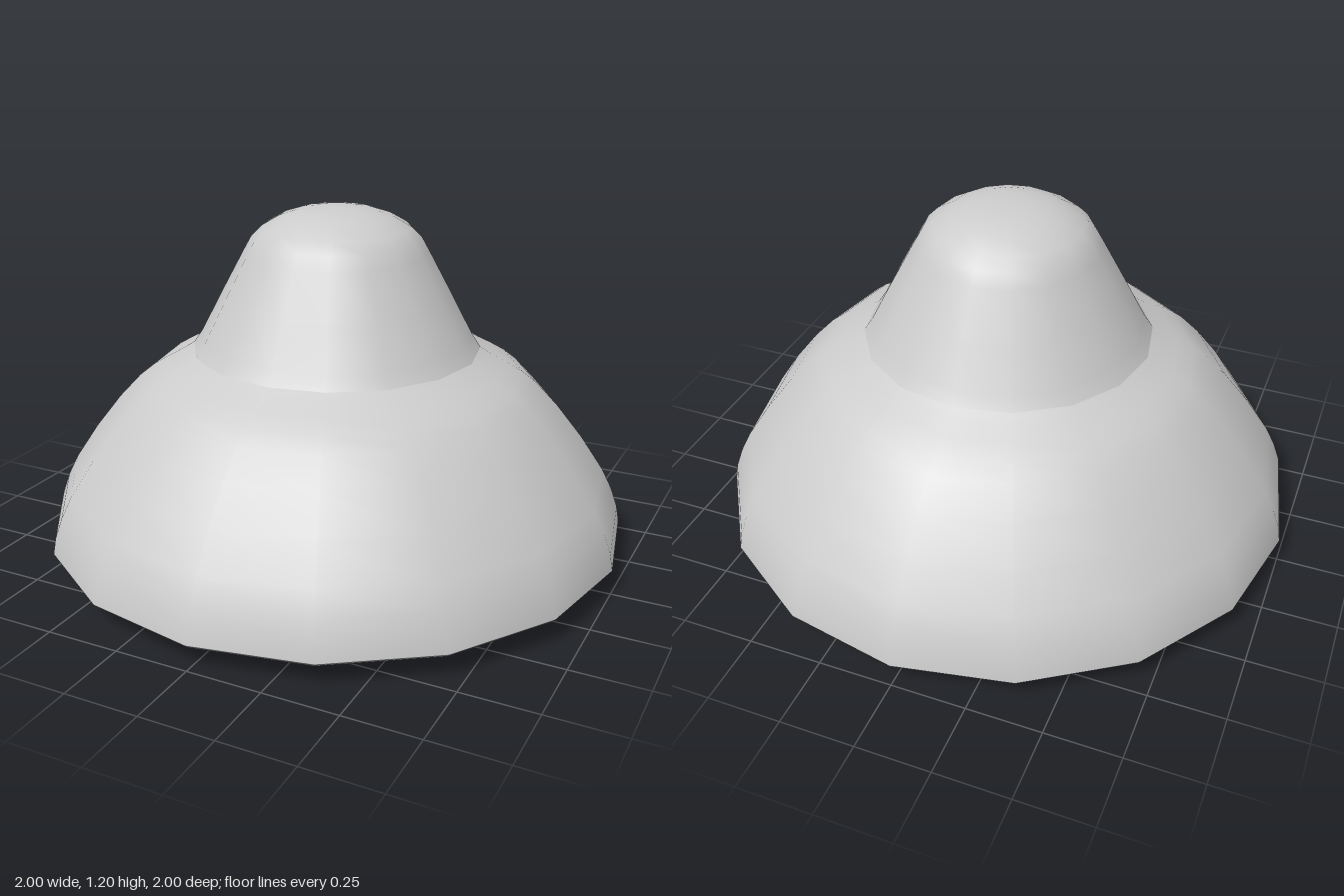
import * as THREE from 'three';
import { toCreasedNormals } from 'three/addons/utils/BufferGeometryUtils.js';

const SIDES = 16;
const material = new THREE.MeshStandardMaterial({ color: 0xcccccc });

const points = (list) => list.map(([r, y]) => new THREE.Vector2(r, y));

// Turned part, smooth around its axis with sharp profile corners
function turned(name, profile, sides, crease = 0.6) {
  const geometry = toCreasedNormals(new THREE.LatheGeometry(points(profile), sides), crease);
  const mesh = new THREE.Mesh(geometry, material);
  mesh.name = name;
  return mesh;
}

// Round plate with rings of holes, lying flat
function perforatedPlate(radius, thickness) {
  const shape = new THREE.Shape().absarc(0, 0, radius, 0, Math.PI * 2);
  for (let ring = 0; ring < 4; ring++) {
    const count = Math.max(1, ring * 6);
    for (let i = 0; i < count; i++) {
      const a = (i / count) * Math.PI * 2;
      const hole = new THREE.Path();
      hole.absarc(Math.cos(a) * ring * 0.108, Math.sin(a) * ring * 0.108, 0.025, 0, Math.PI * 2, true);
      shape.holes.push(hole);
    }
  }
  const geometry = new THREE.ExtrudeGeometry(shape, { depth: thickness, bevelEnabled: false, curveSegments: 8 });
  return geometry.rotateX(Math.PI / 2);
}

export function createModel() {
  const model = new THREE.Group();
  model.name = 'bellShapedBody';

  // Outer bell: wide skirt, then a tapering crown with a rounded top
  const skirt = new THREE.Mesh(new THREE.LatheGeometry(points([
    [1, 0.085], [0.99, 0.14], [0.965, 0.21], [0.93, 0.28], [0.85, 0.4], [0.76, 0.515],
    [0.685, 0.595], [0.635, 0.635], [0.58, 0.668], [0.53, 0.695], [0.49, 0.72],
  ]), SIDES), material);
  skirt.name = 'skirt';
  const crown = new THREE.Mesh(new THREE.LatheGeometry(points([
    [0.49, 0.72], [0.46, 0.765], [0.39, 0.9], [0.31, 1.05], [0.285, 1.095],
    [0.25, 1.13], [0.19, 1.165], [0.13, 1.185], [0.07, 1.195], [0, 1.197],
  ]), SIDES), material);
  crown.name = 'crown';
  model.add(skirt, crown);

  // Underside: recessed floor, raised deck, groove and rim lip
  model.add(turned('underside', [
    [0, 0.25], [0.39, 0.25], [0.39, 0.22], [0.71, 0.22], [0.71, 0.09], [0.87, 0.09],
    [0.87, 0.14], [0.95, 0.14], [0.955, 0.08], [0.965, 0.075], [0.99, 0.075], [1, 0.085],
  ], SIDES));

  // Collar around the grille
  model.add(turned('grilleCollar', [
    [0.375, 0.23], [0.375, 0.15], [0.385, 0.143], [0.4, 0.15], [0.4, 0.23],
  ], SIDES));

  const grille = new THREE.Mesh(perforatedPlate(0.385, 0.025), material);
  grille.name = 'grille';
  grille.position.y = 0.24;
  model.add(grille);

  // Ball feet: large lower half with a ledge and a narrower upper half
  const profile = [];
  for (let i = 0; i <= 8; i++) {
    const a = (i / 8) * Math.PI / 2;
    profile.push([Math.sin(a) * 0.107, 0.107 - Math.cos(a) * 0.107]);
  }
  profile.push([0.107, 0.118], [0.093, 0.122]);
  for (let i = 1; i <= 6; i++) {
    const a = (i / 6) * Math.PI / 2;
    profile.push([Math.cos(a) * 0.093, 0.122 + Math.sin(a) * 0.1]);
  }
  for (const [x, z] of [[-0.54, 0], [-0.15, 0.52], [-0.15, -0.52], [0.38, 0.38], [0.38, -0.38]]) {
    const foot = turned('ballFoot', profile, 20);
    foot.position.set(x, 0, z);
    model.add(foot);
  }

  return model;
}
